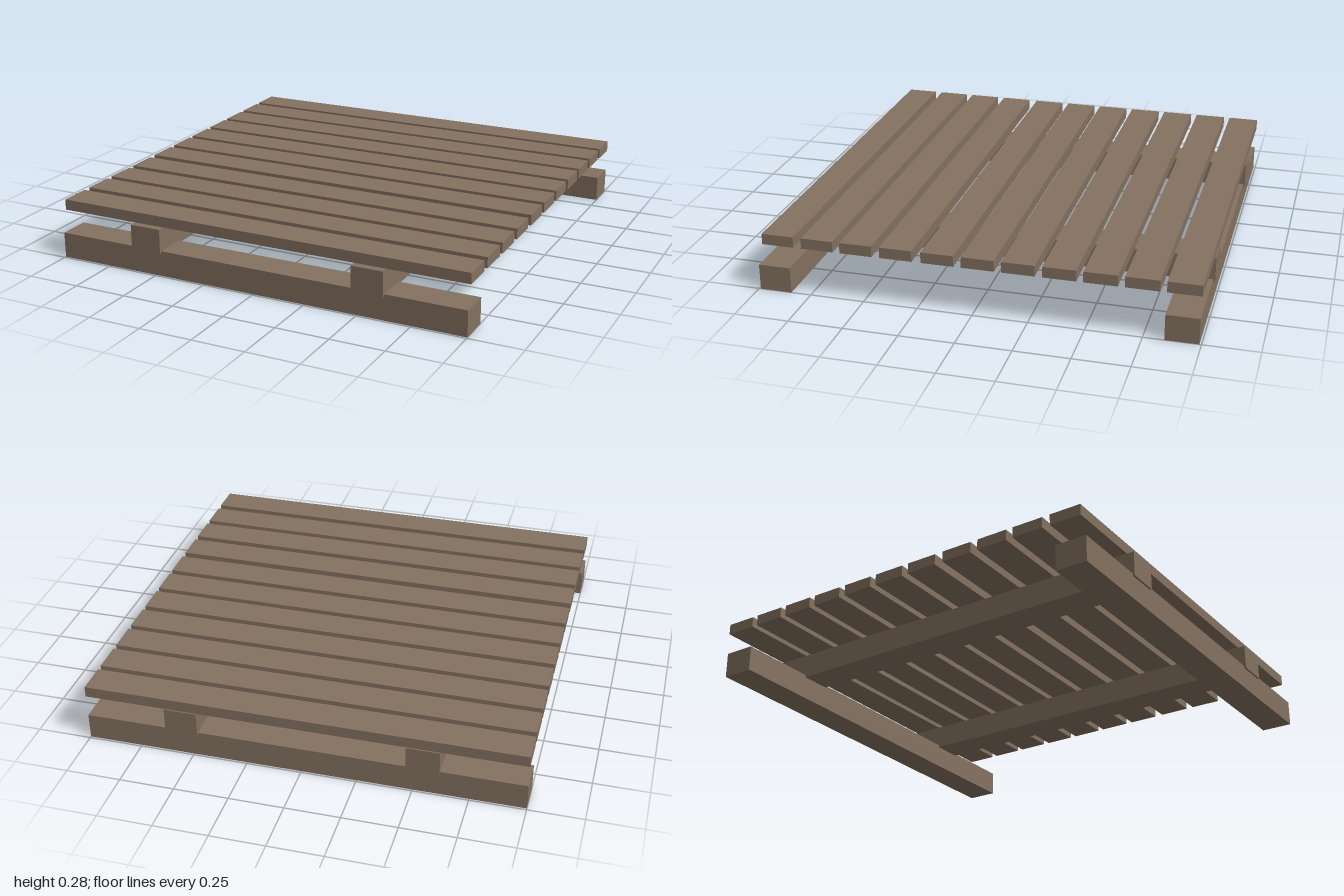
import * as THREE from 'three';

export function createModel() {
  const model = new THREE.Group();
  model.name = 'pallet';
  const wood = new THREE.MeshStandardMaterial({ color: 0x847160 });
  wood.name = 'weathered wood';

  // Square-edged timber, given by its size and its centre with bottom height
  function timber(name, [w, h, d], x, bottom, z) {
    const mesh = new THREE.Mesh(new THREE.BoxGeometry(w, h, d), wood);
    mesh.name = name;
    mesh.position.set(x, bottom + h / 2, z);
    model.add(mesh);
  }

  // Two ground beams, front and back
  timber('frontBeam', [2, 0.12, 0.148], 0, 0, 0.917);
  timber('backBeam', [2, 0.12, 0.148], 0, 0, -0.917);

  // Two joists let slightly into the beams
  timber('leftJoist', [0.15, 0.116, 2], 0.551, 0.109, 0);
  timber('rightJoist', [0.15, 0.116, 2], -0.544, 0.109, 0);

  // Deck slats, hand spaced from back to front
  const slatCentres = [-0.92, -0.743, -0.565, -0.387, -0.207, -0.028, 0.153, 0.342, 0.526, 0.707, 0.892];
  slatCentres.forEach((z, i) => timber(`deckSlat${i + 1}`, [2, 0.05, 0.148], 0, 0.225, z));

  return model;
}
